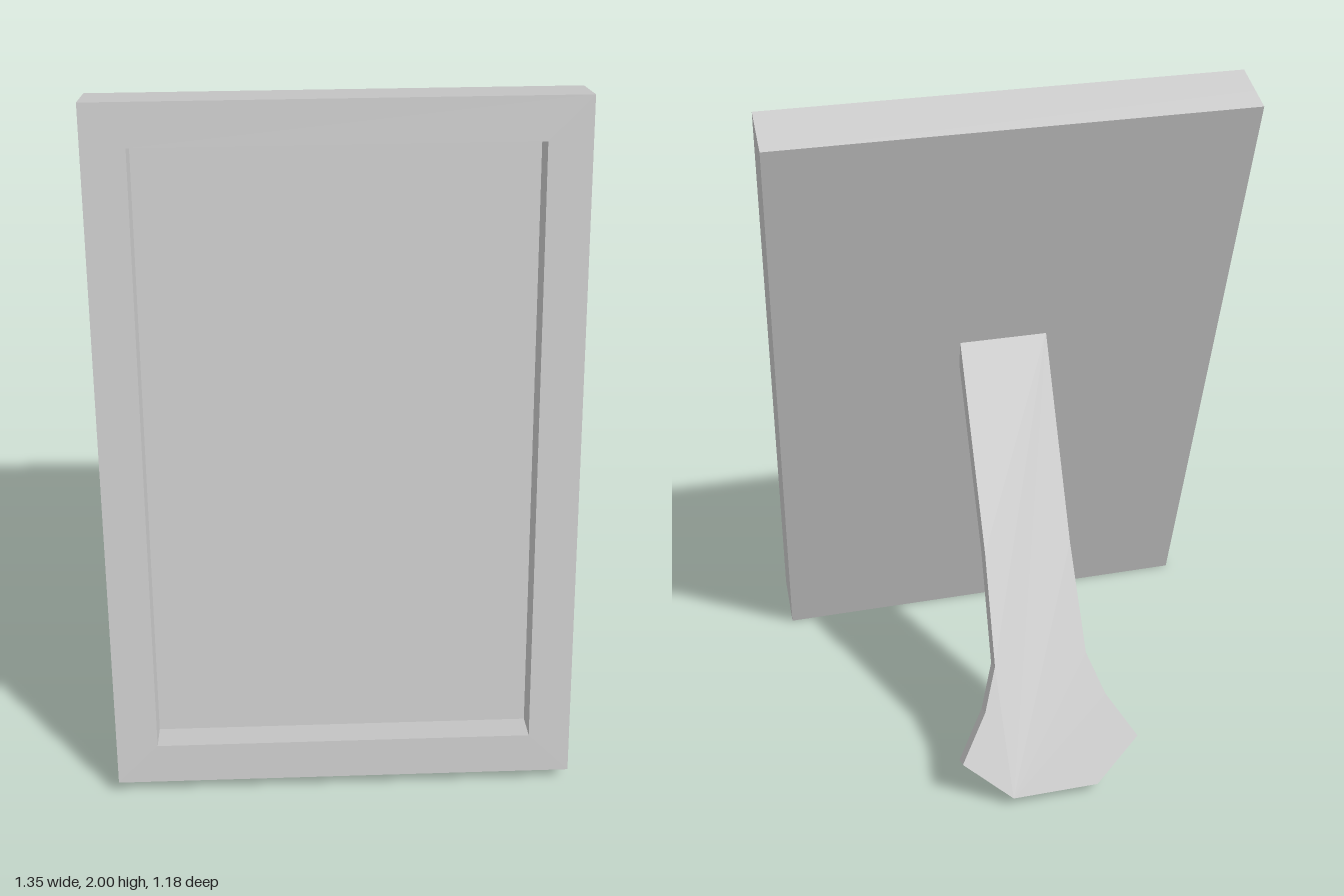
import * as THREE from 'three';

const WIDTH = 1.35, HEIGHT = 2.022, THICK = 0.171;
const BORDER = 0.121, RECESS = 0.097;
const LEG_THICK = 0.062, LEG_LENGTH = 1.372;

const material = new THREE.MeshStandardMaterial({ color: 0xcccccc, flatShading: true });

function addMesh(parent, name, geometry) {
  const mesh = new THREE.Mesh(geometry, material);
  mesh.name = name;
  parent.add(mesh);
  return mesh;
}

function rectangle(PathType, halfWidth, bottom, top) {
  return new PathType([
    [-halfWidth, bottom], [halfWidth, bottom], [halfWidth, top], [-halfWidth, top],
  ].map(([x, y]) => new THREE.Vector2(x, y)));
}

// Leaning frame: a solid back panel with a raised border around the picture
function createFrame() {
  const frame = new THREE.Group();
  frame.name = 'pictureFrame';
  const panelThick = THICK - RECESS;

  const panel = addMesh(frame, 'backPanel', new THREE.BoxGeometry(WIDTH, HEIGHT, panelThick));
  panel.position.set(0, HEIGHT / 2, panelThick / 2);

  const outline = rectangle(THREE.Shape, WIDTH / 2, 0, HEIGHT);
  outline.holes.push(rectangle(THREE.Path, WIDTH / 2 - BORDER, BORDER, HEIGHT - BORDER));
  const border = addMesh(frame, 'frameBorder',
    new THREE.ExtrudeGeometry(outline, { depth: RECESS, bevelEnabled: false }));
  border.position.z = panelThick;

  frame.position.set(0, 0.003, 0.425);
  frame.rotation.x = THREE.MathUtils.degToRad(-15.05);
  return frame;
}

// Easel leg: a flat strut that flares into a wide foot
function createLeg() {
  // Right half of the outline: half width, distance up from the foot
  const half = [[0.13, 0], [0.27, 0.126], [0.185, 0.27], [0.14, 0.402], [0.13, 0.74], [0.13, LEG_LENGTH]];
  const mirrored = half.map(([x, y]) => [-x, y]).reverse();
  const outline = new THREE.Shape([...half, ...mirrored].map(([x, y]) => new THREE.Vector2(x, y)));

  const leg = new THREE.Group();
  leg.name = 'easelLeg';
  addMesh(leg, 'legStrut',
    new THREE.ExtrudeGeometry(outline, { depth: LEG_THICK, bevelEnabled: false }));
  leg.position.set(0, 0.036, -0.588);
  leg.rotation.x = THREE.MathUtils.degToRad(30.1);
  return leg;
}

export function createModel() {
  const model = new THREE.Group();
  model.name = 'standingPictureFrame';
  model.add(createFrame(), createLeg());
  return model;
}
